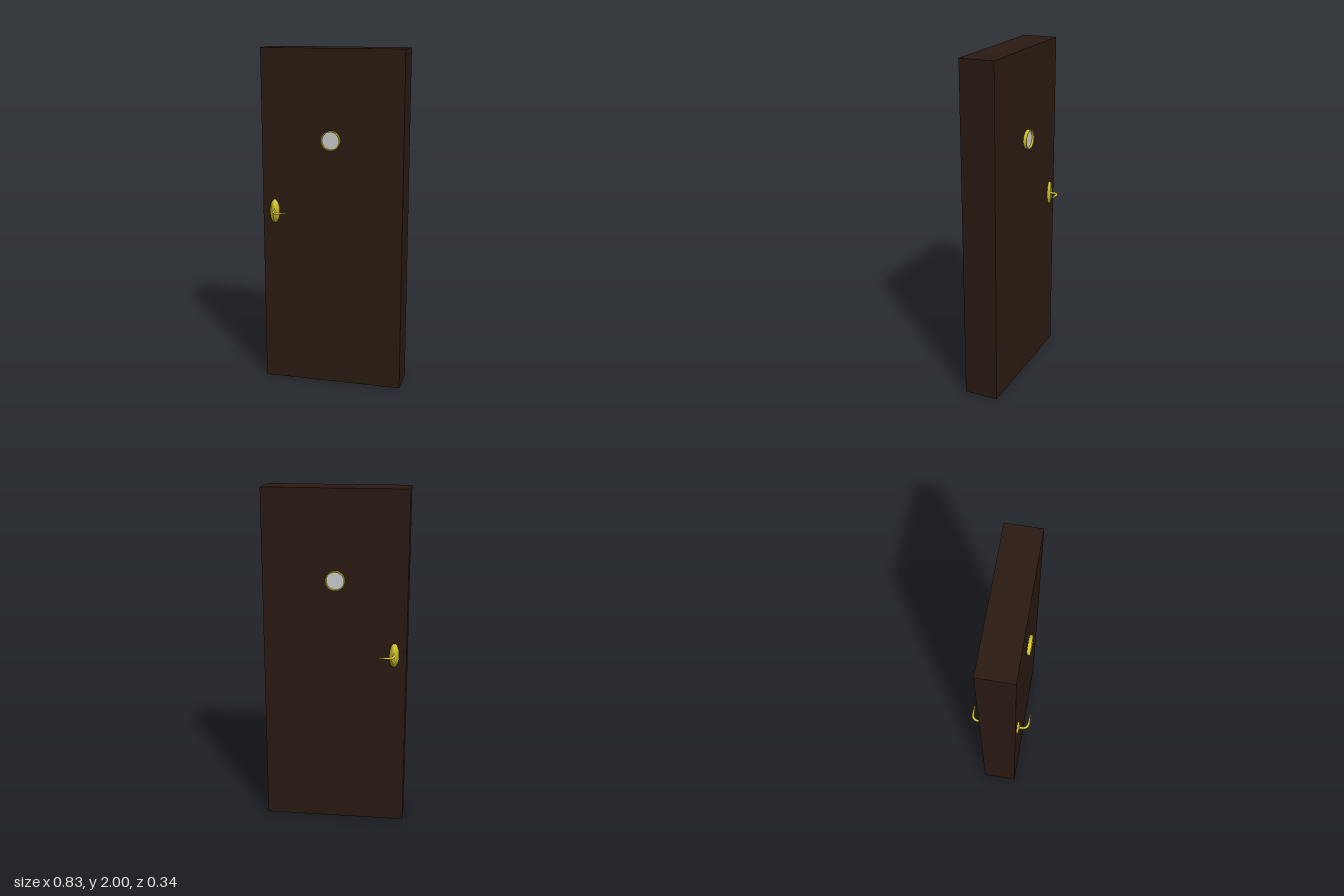
import * as THREE from 'three';
import { toCreasedNormals } from 'three/addons/utils/BufferGeometryUtils.js';

const wood = new THREE.MeshStandardMaterial({ color: 0x2a1a12 });
const brass = new THREE.MeshStandardMaterial({ color: 0xd8c828 });
const glass = new THREE.MeshStandardMaterial({ color: 0xcccccc });

const HALF = 0.102; // half the door thickness

function part(name, geometry, material) {
  const mesh = new THREE.Mesh(geometry, material);
  mesh.name = name;
  return mesh;
}

// Curved lever that narrows towards its tip; s is the side of the door (+1 front, -1 back)
function leverGeometry(s, tipRadius) {
  const v = (x, z) => new THREE.Vector3(x, 0, s * z);
  const path = new THREE.CurvePath();
  path.add(new THREE.LineCurve3(v(0, HALF), v(0, 0.129)));
  path.add(new THREE.CubicBezierCurve3(v(0, 0.129), v(0, 0.149), v(0.015, 0.163), v(0.036, 0.163)));
  path.add(new THREE.LineCurve3(v(0.036, 0.163), v(0.083, 0.1625)));
  const rings = 40, sides = 16, radius = 0.0075;
  const geometry = new THREE.TubeGeometry(path, rings, radius, sides);
  const pos = geometry.attributes.position, p = new THREE.Vector3();
  for (let i = 0; i <= rings; i++) {
    const t = i / rings, centre = path.getPointAt(t);
    const k = THREE.MathUtils.lerp(1, tipRadius / radius, THREE.MathUtils.smoothstep(t, 0.45, 1));
    for (let j = 0; j <= sides; j++) {
      const n = i * (sides + 1) + j;
      p.fromBufferAttribute(pos, n).sub(centre).multiplyScalar(k).add(centre);
      pos.setXYZ(n, p.x, p.y, p.z);
    }
  }
  return geometry;
}

// Oval backplate with lever
function handle(s) {
  const group = new THREE.Group();
  group.name = s > 0 ? 'frontHandle' : 'backHandle';
  group.position.set(-0.346, 1.052, 0);

  const plate = part('backplate',
    toCreasedNormals(new THREE.CylinderGeometry(0.97, 1, 0.012, 48), 0.6), brass);
  plate.rotation.x = s * Math.PI / 2;
  plate.scale.set(0.029, 1, 0.071);
  plate.position.z = s * (HALF + 0.005);

  const tipRadius = 0.0045;
  const tip = part('leverTip', new THREE.CircleGeometry(tipRadius, 16), brass);
  tip.rotation.y = Math.PI / 2;
  tip.position.set(0.083, 0, s * 0.1625);
  group.add(plate, part('lever', leverGeometry(s, tipRadius), brass), tip);
  return group;
}

// Round window: brass rim around a slightly recessed pane
function roundWindow(s) {
  const group = new THREE.Group();
  group.name = s > 0 ? 'frontWindow' : 'backWindow';
  group.position.set(-0.004, 1.483, 0);
  group.rotation.x = s * Math.PI / 2;
  const profile = [[0.056, 0.098], [0.056, 0.1215], [0.05, 0.1215], [0.05, 0.098]]
    .map(([r, h]) => new THREE.Vector2(r, h));
  const rim = part('windowRim',
    toCreasedNormals(new THREE.LatheGeometry(profile, 48), 0.6), brass);
  const pane = part('windowPane', new THREE.CircleGeometry(0.051, 48), glass);
  pane.rotation.x = -Math.PI / 2;
  pane.position.y = 0.109;
  group.add(rim, pane);
  return group;
}

export function createModel() {
  const model = new THREE.Group();
  model.name = 'door';

  const body = new THREE.Group();
  body.name = 'doorAssembly';
  body.position.z = -0.001;

  const slab = part('doorSlab', new THREE.BoxGeometry(0.834, 2, HALF * 2), wood);
  slab.position.y = 1;
  body.add(slab);

  // Fittings repeat on the front and the back
  for (const s of [1, -1]) body.add(handle(s), roundWindow(s));

  model.add(body);
  return model;
}
